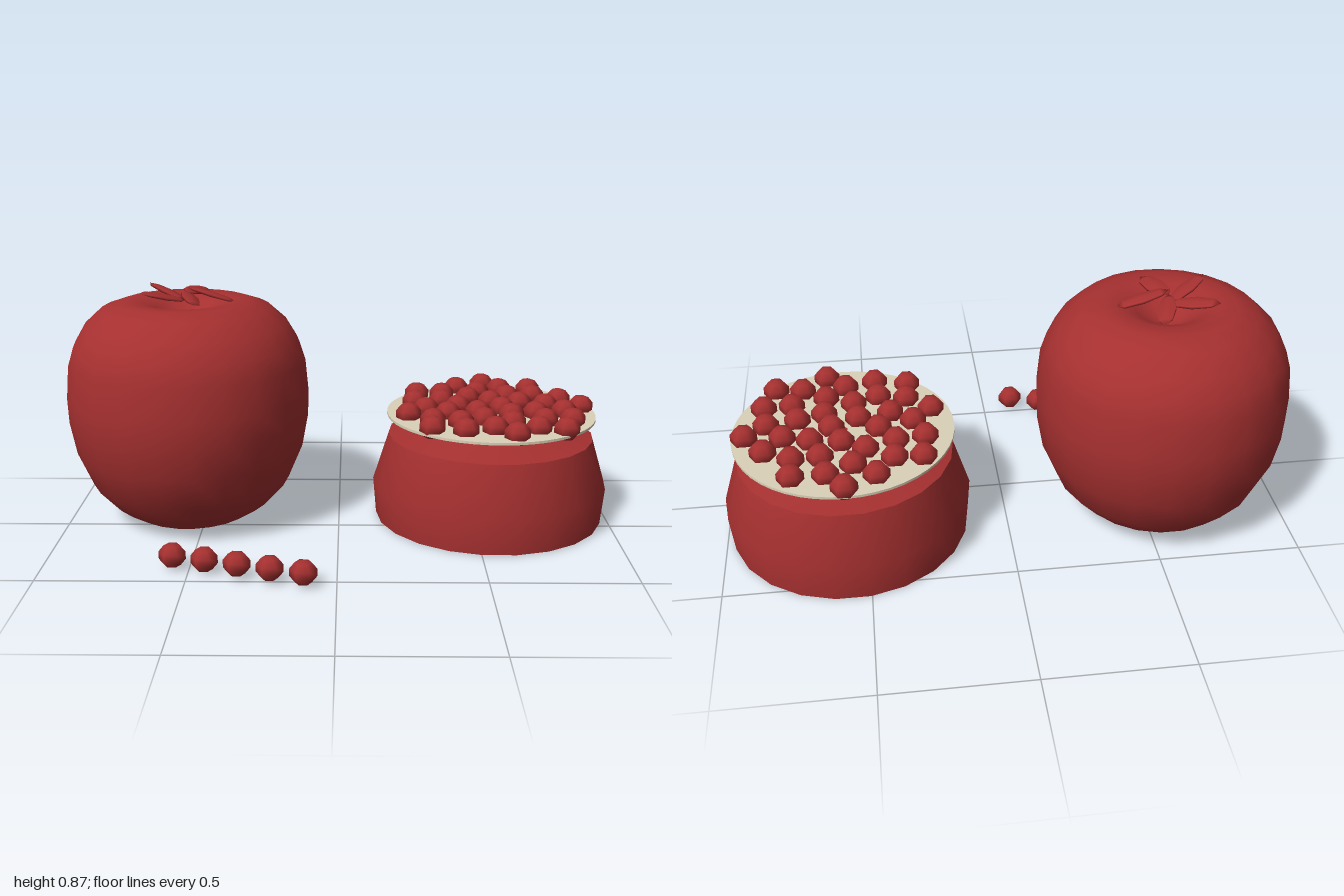
import * as THREE from 'three';
import { toCreasedNormals } from 'three/addons/utils/BufferGeometryUtils.js';

const SIDES = 22;

export function createModel() {
  const model = new THREE.Group();
  model.name = 'fruitWithSeeds';
  const red = new THREE.MeshStandardMaterial({ color: 0xa63030 });
  red.name = 'fruitRed';
  const cream = new THREE.MeshStandardMaterial({ color: 0xdad1b8 });
  cream.name = 'pithCream';

  const add = (parent, name, geometry, material, x = 0, y = 0, z = 0) => {
    const mesh = new THREE.Mesh(geometry, material);
    mesh.name = name;
    mesh.position.set(x, y, z);
    parent.add(mesh);
    return mesh;
  };
  const group = (name, x, z) => {
    const g = new THREE.Group();
    g.name = name;
    g.position.set(x, 0, z);
    model.add(g);
    return g;
  };
  // Turned body, profile listed from bottom to top, with a vertex on the x axis
  const turned = (profile) => new THREE.LatheGeometry(
    profile.map(([r, y]) => new THREE.Vector2(r, y)), SIDES).rotateY(Math.PI / 2);

  // Whole fruit, dimpled at both ends
  const whole = group('wholeFruit', -0.556, -0.14);
  add(whole, 'wholeFruitSkin', turned([
    [0, 0.075], [0.05, 0.06], [0.1, 0.025], [0.17, 0.003], [0.215, 0.015], [0.29, 0.062],
    [0.365, 0.145], [0.418, 0.27], [0.44, 0.39], [0.443, 0.48], [0.432, 0.6], [0.41, 0.67],
    [0.37, 0.737], [0.305, 0.796], [0.235, 0.82], [0.17, 0.818], [0.11, 0.795], [0.05, 0.75], [0, 0.735],
  ]), red);

  // Five pointed crown leaves, all leaning the same way
  const leafShape = new THREE.SphereGeometry(1, 6, 4).rotateZ(Math.PI / 2).scale(0.093, 0.009, 0.036);
  for (let i = 0; i < 5; i++) {
    const a = (i / 5) * Math.PI * 2;
    const geometry = leafShape.clone().rotateY(-a).rotateZ(-0.3);
    add(whole, 'crownLeaf', geometry, red, 0.092 * Math.cos(a), 0.842, 0.092 * Math.sin(a));
  }

  // Cut fruit: tapered skin with a shallow conical top and a flat base
  const half = group('cutFruit', 0.563, -0.143);
  add(half, 'cutFruitSkin', toCreasedNormals(turned([
    [0, 0.004], [0.422, 0.004], [0.434, 0.14], [0.378, 0.32], [0.13, 0.372], [0, 0.405],
  ]), 0.6), red);
  add(half, 'pithDisc', new THREE.CylinderGeometry(0.384, 0.384, 0.009, 48), cream, 0, 0.397, 0);

  // Seeds on the cut face, in a sunflower spiral
  const seedShape = new THREE.SphereGeometry(0.048, 6, 5).scale(1, 0.9, 1);
  for (let i = 0; i < 38; i++) {
    const r = 0.0577 * Math.sqrt(i + 0.5);
    const a = i * 2.39996;
    add(half, 'seed', seedShape, red, r * Math.cos(a), 0.416, r * Math.sin(a));
  }

  // Loose seeds in a row on the ground
  const loose = group('looseSeeds', -0.556, 0.397);
  for (let i = 0; i < 5; i++) add(loose, 'looseSeed', seedShape, red, i * 0.1117, 0.052, i * 0.0335);

  return model;
}
